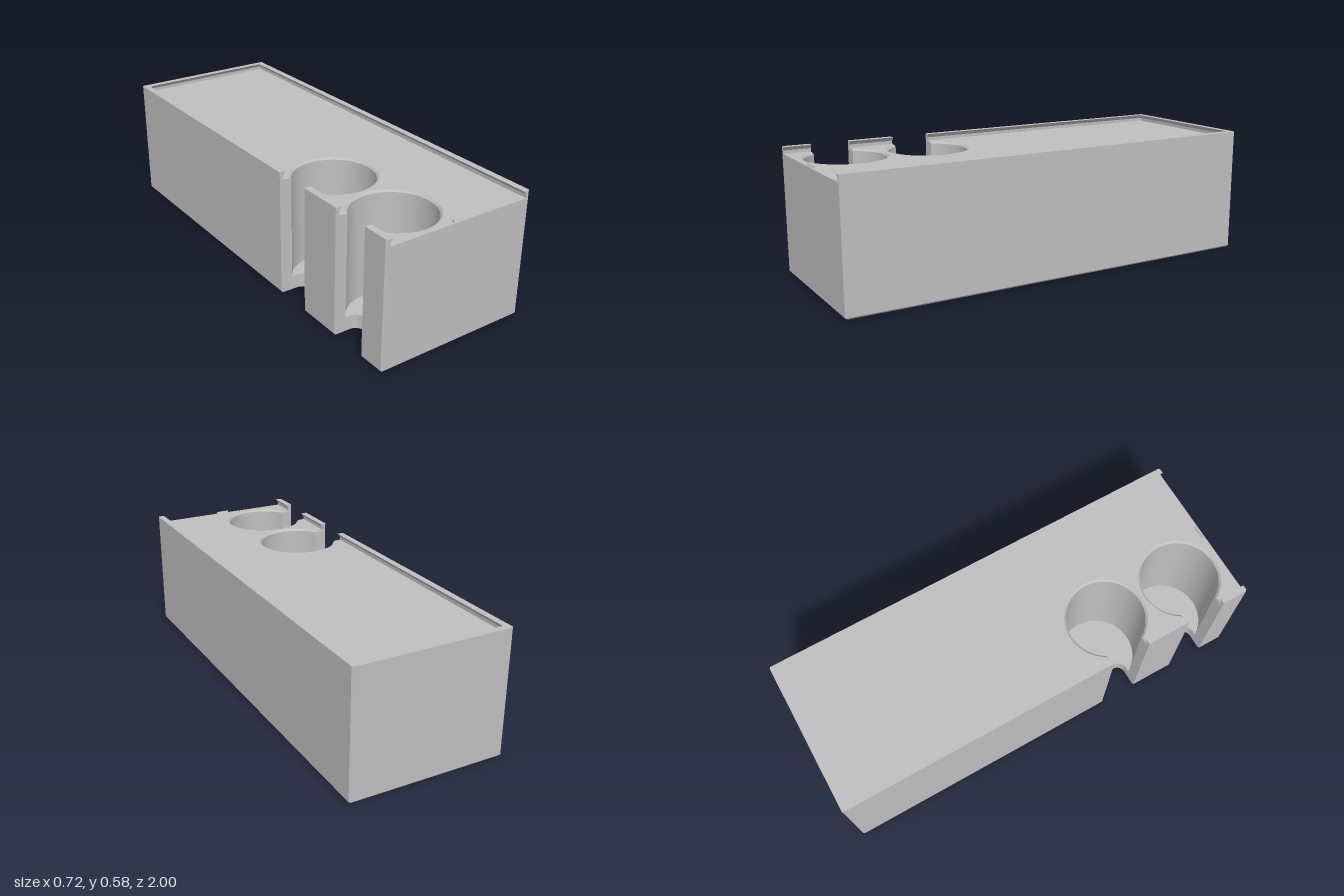
import * as THREE from 'three';
import { toCreasedNormals } from 'three/addons/utils/BufferGeometryUtils.js';

const W = 0.36, C = 0.006;                 // half width, vertical edge chamfer
const CX = -0.15, R = 0.178, RIM = 0.187;  // pocket centre x, radius, rim radius
const POCKETS = [0.395, 0.785];            // pocket centres in z
const SLOT = 0.09, SLOT_END = -0.24, SLOT_R = 0.04;
const FLOOR = 0.065, DECK = 0.545, GROOVE = 0.56, TOP = 0.577;
const INNER = 0.343, LIP = 0.33;           // groove wall and overhanging lip, in x

// Extrude an outline of [x, z] points upward from y0 to y1, then apply a vertex rule
function slab(points, y0, y1, rule) {
  const shape = new THREE.Shape(points.map(([x, z]) => new THREE.Vector2(x, -z)));
  const geo = new THREE.ExtrudeGeometry(shape, { depth: y1 - y0, bevelEnabled: false });
  geo.rotateX(-Math.PI / 2).translate(0, y0, 0);
  if (rule) {
    const p = geo.attributes.position, v = new THREE.Vector3();
    for (let i = 0; i < p.count; i++) {
      v.fromBufferAttribute(p, i);
      rule(v);
      p.setXYZ(i, v.x, v.y, v.z);
    }
  }
  return toCreasedNormals(geo, 0.4);
}

function arc(cx, cz, r, a0, a1, n) {
  return Array.from({ length: n + 1 }, (_, i) => {
    const a = a0 + (a1 - a0) * i / n;
    return [cx + r * Math.cos(a), cz + r * Math.sin(a)];
  });
}

// Finger slot with a rounded inner end, cut through the floor
function fingerSlot(zc) {
  const x = SLOT_END - SLOT_R, d = SLOT - SLOT_R;
  return [[-W, zc - SLOT],
    ...arc(x, zc - d, SLOT_R, -Math.PI / 2, 0, 8),
    ...arc(x, zc + d, SLOT_R, 0, Math.PI / 2, 8),
    [-W, zc + SLOT]];
}

// Round pocket that opens through the side wall
function keyhole(zc) {
  const a = Math.PI - Math.asin(SLOT / R);
  return [[-W, zc - SLOT], ...arc(CX, zc, R, -a, a, 64), [-W, zc + SLOT]];
}

// Box outline with a cut-out at each pocket
function outline(cut) {
  return [[W - C, 1], [W, 1 - C], [W, C - 1], [W - C, -1], [C - W, -1], [-W, C - 1],
    ...POCKETS.flatMap(cut), [-W, 1 - C], [C - W, 1]];
}

export function createModel() {
  const group = new THREE.Group();
  const grey = new THREE.MeshStandardMaterial({ color: 0xbfbfbf });
  grey.name = 'plain grey';
  const add = (name, geo) => {
    const mesh = new THREE.Mesh(geo, grey);
    mesh.name = name;
    group.add(mesh);
  };

  // Floor with a chamfered bottom edge
  const ch = 0.008;
  add('bottomChamfer', slab(outline(fingerSlot), 0, ch, v => {
    if (v.y < ch / 2) {
      v.x = THREE.MathUtils.clamp(v.x, ch - W, W - ch);
      v.z = THREE.MathUtils.clamp(v.z, ch - 1, 1 - ch);
    }
  }));
  add('floor', slab(outline(fingerSlot), ch, FLOOR));

  // Block with the two pockets, and its top layer with flared pocket rims
  const rimY = DECK - (RIM - R);
  add('block', slab(outline(keyhole), FLOOR, rimY));
  add('deck', slab(outline(keyhole), rimY, DECK, v => {
    if (v.y < DECK - 0.001) return;
    for (const zc of POCKETS) {
      const d = Math.hypot(v.x - CX, v.z - zc);
      if (Math.abs(d - R) < 0.0005) {
        v.x = CX + (v.x - CX) * RIM / R;
        v.z = zc + (v.z - zc) * RIM / R;
        break;
      }
    }
  }));

  // Lid rails: a U round the back, plus short pieces beside the slots
  const [p1, p2] = POCKETS, backZ = INNER - W - -1 * -1; // groove wall at the back
  const rails = {
    mainRail: [[W - C, 1], [W, 1 - C], [W, C - 1], [W - C, -1], [C - W, -1], [-W, C - 1],
      [-W, p1 - SLOT], [-INNER, p1 - SLOT], [-INNER, -1 + W - INNER],
      [INNER, -1 + W - INNER], [INNER, 1]],
    middleRail: [[-W, p1 + SLOT], [-W, p2 - SLOT], [-INNER, p2 - SLOT], [-INNER, p1 + SLOT]],
    frontRail: [[-W, p2 + SLOT], [-W, 1 - C], [C - W, 1], [-INNER, 1], [-INNER, p2 + SLOT]],
  };
  const backWall = -1 + W - INNER;
  for (const [name, pts] of Object.entries(rails)) {
    add(name, slab(pts, DECK, GROOVE));
    // Overhanging lip
    add(name + 'Lip', slab(pts, GROOVE, TOP, v => {
      if (v.y < TOP - 0.001) return;
      if (Math.abs(Math.abs(v.x) - INNER) < 0.0005) v.x = Math.sign(v.x) * LIP;
      if (Math.abs(v.z - backWall) < 0.0005) v.z = -1 + W - LIP;
    }));
  }

  // Small ridge that catches the lid
  const ridge = new THREE.Shape([[-0.998, 0], [-0.982, 0], [-0.988, 0.012], [-0.992, 0.012]]
    .map(([a, b]) => new THREE.Vector2(a, b)));
  const ridgeGeo = new THREE.ExtrudeGeometry(ridge, { depth: 0.064, bevelEnabled: false });
  ridgeGeo.rotateY(Math.PI / 2).translate(-0.033, DECK, 0);
  add('lidCatch', ridgeGeo);

  return group;
}
